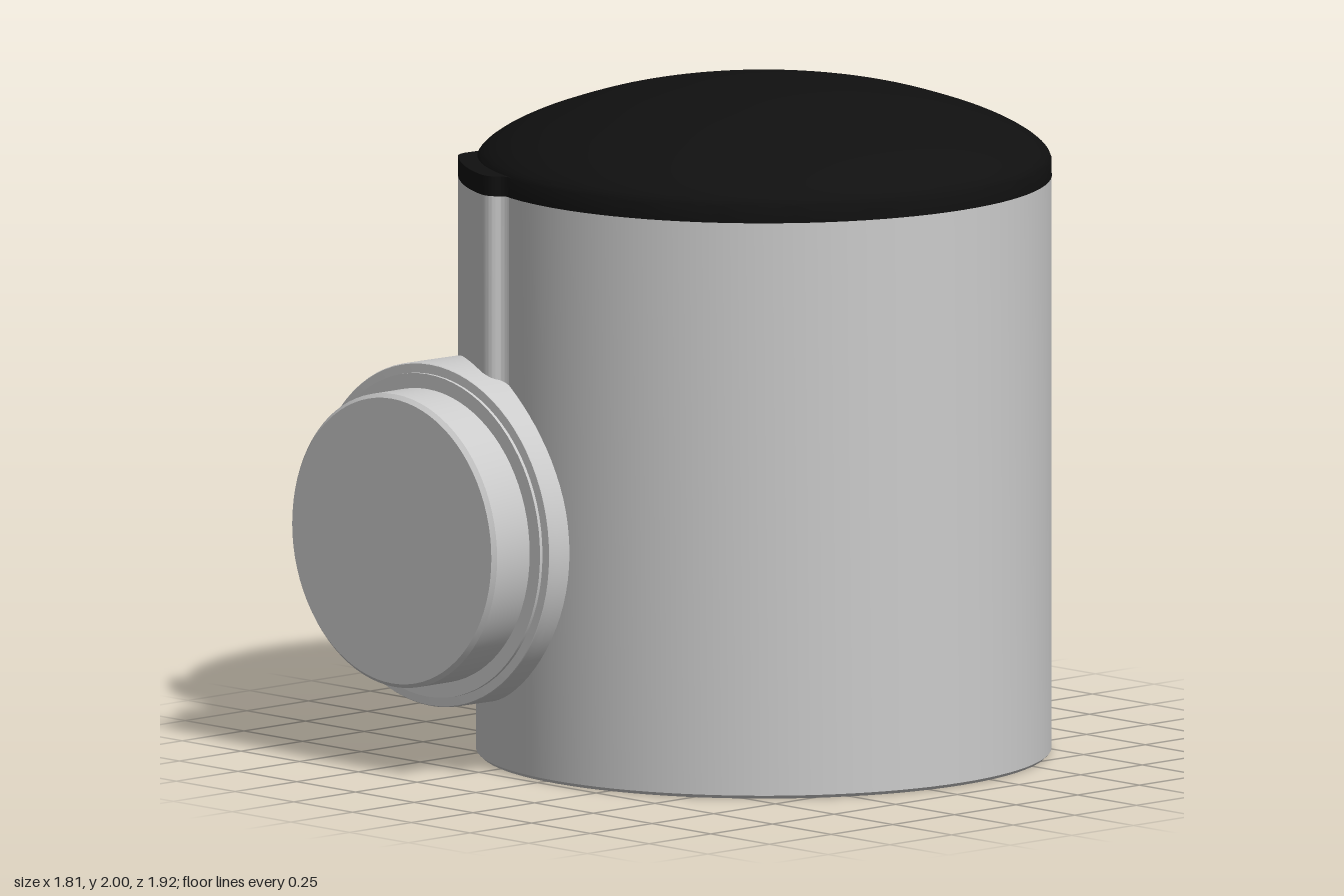
import * as THREE from 'three';
import { toCreasedNormals } from 'three/addons/utils/BufferGeometryUtils.js';

const CX = 0.055, CZ = -0.115, R = 0.845; // main cylinder axis and radius
const NX = -0.4, NY = 0.695;              // inlet axis

const grey = new THREE.MeshStandardMaterial({ color: 0xcccccc });
const black = new THREE.MeshStandardMaterial({ color: 0x101010 });

function mesh(name, geometry, material) {
  const m = new THREE.Mesh(geometry, material);
  m.name = name;
  return m;
}

function lathe(points, segments = 96) {
  const pts = points.map(([r, y]) => new THREE.Vector2(r, y));
  return toCreasedNormals(new THREE.LatheGeometry(pts, segments), 0.5);
}

// Plan of the cable channel beside the wall, about the cylinder axis (shape y = -z)
function channelGeometry(y0, y1) {
  const s = new THREE.Shape();
  s.moveTo(-0.5, -0.4);
  s.lineTo(-0.63, -0.56);
  s.lineTo(-0.633, -0.61);
  s.quadraticCurveTo(-0.63, -0.645, -0.6, -0.668);
  s.quadraticCurveTo(-0.462, -0.79, -0.32, -0.839);
  s.quadraticCurveTo(-0.28, -0.848, -0.265, -0.825);
  s.quadraticCurveTo(-0.255, -0.812, -0.225, -0.812);
  s.lineTo(-0.2, -0.7);
  const g = new THREE.ExtrudeGeometry(s, { depth: y1 - y0, bevelEnabled: false, curveSegments: 10 });
  g.rotateX(-Math.PI / 2).translate(0, y0, 0);
  return toCreasedNormals(g, 0.6);
}

// Elbow: circles stacked along z whose centres drift into the main cylinder
function elbowGeometry() {
  const left = new THREE.SplineCurve([
    [0.805, -0.91], [0.6, -0.9], [0.4, -0.877], [0.2, -0.843],
    [0, -0.803], [-0.12, -0.775], [-0.3, -0.72],
  ].map(([z, x]) => new THREE.Vector2(z, x)));
  const rings = 28, sides = 80, radius = 0.51, pos = [], idx = [];
  for (let i = 0; i <= rings; i++) {
    const p = left.getPoint(i / rings);
    for (let j = 0; j <= sides; j++) {
      const a = (j / sides) * Math.PI * 2;
      pos.push(p.y + radius + radius * Math.cos(a), NY + radius * Math.sin(a), p.x);
      if (i < rings && j < sides) {
        const k = i * (sides + 1) + j, n = k + sides + 1;
        idx.push(k, n, k + 1, k + 1, n, n + 1);
      }
    }
  }
  const g = new THREE.BufferGeometry();
  g.setAttribute('position', new THREE.Float32BufferAttribute(pos, 3));
  g.setIndex(idx);
  return toCreasedNormals(g, 0.6);
}

// Upright slot plate with rounded ends, facing +z
function slotGeometry(width, height, depth) {
  const r = width / 2, s = new THREE.Shape();
  s.moveTo(-r, 0);
  s.lineTo(r, 0);
  s.lineTo(r, height - r);
  s.absarc(0, height - r, r, 0, Math.PI, false);
  s.lineTo(-r, 0);
  return new THREE.ExtrudeGeometry(s, { depth, bevelEnabled: false, curveSegments: 8 });
}

export function createModel() {
  const model = new THREE.Group();
  model.name = 'housing';

  // Main canister with cap and cable channel
  const canister = new THREE.Group();
  canister.name = 'canister';
  canister.position.set(CX, 0, CZ);
  canister.add(mesh('body', lathe([[0, 0], [R - 0.01, 0], [R, 0.01], [R, 1.72], [0, 1.72]]), grey));

  const dome = new THREE.SplineCurve([
    [R, 1.765], [0.834, 1.787], [0.8, 1.817], [0.74, 1.852], [0.65, 1.89],
    [0.5, 1.938], [0.35, 1.97], [0.18, 1.993], [0, 2],
  ].map(([r, y]) => new THREE.Vector2(r, y))).getPoints(32).map((p) => [Math.max(p.x, 0), p.y]);
  canister.add(mesh('domedCap', lathe([[0, 1.715], [R + 0.001, 1.715], ...dome]), black));

  canister.add(mesh('cableChannel', channelGeometry(0.75, 1.716), grey));
  canister.add(mesh('channelCap', channelGeometry(1.716, 1.775), black));

  // Drain slot at the foot of the rear wall
  const drain = mesh('drainSlot', slotGeometry(0.05, 0.17, 0.03), grey);
  drain.rotation.y = Math.PI;
  drain.position.set(0, 0.002, -R + 0.027);
  canister.add(drain);
  model.add(canister);

  // Inlet elbow with stepped collar and spigot facing the front
  const inlet = new THREE.Group();
  inlet.name = 'inlet';
  inlet.add(mesh('elbow', elbowGeometry(), grey));
  const spigot = mesh('spigot', lathe([
    [0.51, 0.8], [0.507, 0.805], [0.48, 0.806], [0.48, 0.816], [0.436, 0.816],
    [0.436, 0.948], [0.424, 0.96], [0, 0.96],
  ], 80), grey);
  spigot.rotation.x = Math.PI / 2;
  spigot.position.set(NX, NY, 0);
  inlet.add(spigot);

  // Small index mark on the outer side of the collar
  const mark = mesh('indexMark', slotGeometry(0.05, 0.06, 0.02), grey);
  mark.rotation.set(0, -Math.PI / 2, 0);
  mark.position.set(NX - 0.49, NY - 0.03, 0.775);
  inlet.add(mark);
  model.add(inlet);

  return model;
}
